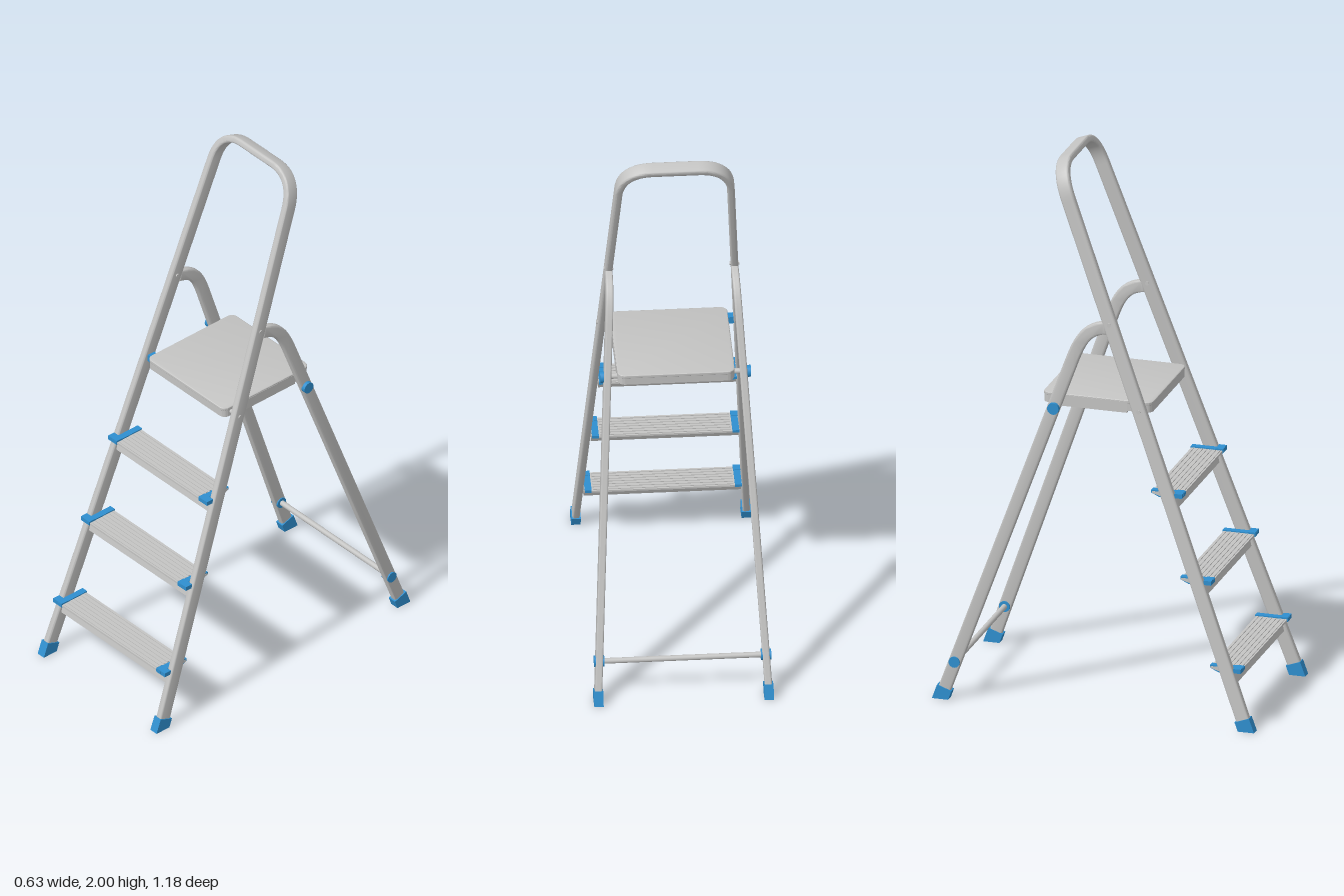
import * as THREE from 'three';
import { toCreasedNormals } from 'three/addons/utils/BufferGeometryUtils.js';

const aluminium = new THREE.MeshStandardMaterial({ color: 0xc4c4c3 });
aluminium.name = 'aluminium';
const bluePlastic = new THREE.MeshStandardMaterial({ color: 0x2f8fcf });
bluePlastic.name = 'blue plastic';

const TILT = Math.atan(0.3675);           // lean of the front frame
const railX = (y) => 0.30 - 0.0555 * y;   // frame half width at a height
const railZ = (y) => 0.56 - 0.3675 * y;   // front frame depth at a height
const LEG_SLOPE = 0.356;
const legZ = (y) => -0.56 + LEG_SLOPE * y;
const V = (x, y) => new THREE.Vector2(x, y);

// Closed outline of a band of even width that follows a line of points
function band(points, width) {
  const left = [], right = [];
  points.forEach((p, i) => {
    const a = points[Math.max(i - 1, 0)], b = points[Math.min(i + 1, points.length - 1)];
    const t = b.clone().sub(a).normalize().multiplyScalar(width / 2);
    left.push(V(p.x - t.y, p.y + t.x));
    right.unshift(V(p.x + t.y, p.y - t.x));
  });
  return new THREE.Shape([...left, ...right]);
}

// Extrusion centred on z = 0, with optional rounded edges
function extrude(shape, depth, bevel = 0) {
  const geo = new THREE.ExtrudeGeometry(shape, {
    depth: depth - 2 * bevel, bevelEnabled: bevel > 0, bevelThickness: bevel,
    bevelSize: bevel, bevelOffset: -bevel, bevelSegments: 3, curveSegments: 8,
  });
  geo.translate(0, 0, -depth / 2 + bevel);
  return toCreasedNormals(geo, 0.7);
}

function roundedRect(w, h, r, Type = THREE.Shape) {
  const s = new Type(), x = w / 2, y = h / 2;
  s.absarc(x - r, y - r, r, 0, Math.PI / 2);
  s.absarc(-x + r, y - r, r, Math.PI / 2, Math.PI);
  s.absarc(-x + r, -y + r, r, Math.PI, Math.PI * 1.5);
  s.absarc(x - r, -y + r, r, Math.PI * 1.5, Math.PI * 2);
  s.closePath();
  return s;
}

export function createModel() {
  const model = new THREE.Group();
  model.name = 'stepladder';
  const add = (name, geo, mat, x = 0, y = 0, z = 0, parent = model) => {
    const mesh = new THREE.Mesh(geo, mat);
    mesh.name = name;
    mesh.position.set(x, y, z);
    parent.add(mesh);
    return mesh;
  };
  const rod = (name, r, length, mat, x, y, z) =>
    add(name, new THREE.CylinderGeometry(r, r, length, 20).rotateZ(Math.PI / 2), mat, x, y, z);

  // Front frame: one tube bent into a tall hoop
  const corner = new THREE.CubicBezierCurve(
    V(0.197, 1.985), V(0.194, 2.062), V(0.155, 2.109), V(0.08, 2.109)).getPoints(14);
  const half = [V(0.299, 0.025), ...corner];
  const hoop = [...half, ...half.map((p) => V(-p.x, p.y)).reverse()];
  add('frontFrame', extrude(band(hoop, 0.026), 0.05, 0.007), aluminium, 0, 0, 0.56)
    .rotation.x = -TILT;

  // Rear legs, curving over to meet the front frame
  const bend = new THREE.CubicBezierCurve(
    V(legZ(1.24), 1.24), V(legZ(1.34), 1.34), V(-0.065, 1.405), V(0.02, 1.416)).getPoints(14);
  const legShape = band([V(legZ(0.025), 0.025), ...bend], 0.046);
  for (const side of [-1, 1]) {
    const geo = extrude(legShape, 0.026, 0.007).rotateY(-Math.PI / 2);
    const pos = geo.attributes.position;
    for (let i = 0; i < pos.count; i++) {
      pos.setX(i, pos.getX(i) + side * railX(pos.getY(i)));
    }
    add('rearLeg', geo, aluminium);
  }

  // Feet: leaning blocks cut flat at the floor
  for (const side of [-1, 1]) {
    for (const [name, z, lean] of [['frontFoot', 0.56, -TILT], ['rearFoot', -0.56, Math.atan(LEG_SLOPE)]]) {
      const geo = new THREE.BoxGeometry(0.033, 0.09, 0.056).rotateX(lean);
      const pos = geo.attributes.position;
      for (let i = 0; i < pos.count; i++) {
        const y = pos.getY(i);
        if (y < 0) {
          pos.setZ(i, pos.getZ(i) - y * Math.tan(lean));
          pos.setY(i, 0);
        }
      }
      geo.computeVertexNormals();
      add(name, geo, bluePlastic, side * 0.298, 0, z);
    }
  }

  // Steps: flat tread over a leaning channel, with plastic end caps
  const stepProfile = new THREE.Shape([
    V(0.057, 0), V(0.057, -0.007), V(0.03, -0.017), V(0.038, -0.054),
    V(-0.006, -0.054), V(-0.022, -0.017), V(-0.057, -0.007), V(-0.057, 0),
  ]);
  const capProfile = new THREE.Shape([
    V(0.06, 0.004), V(0.06, -0.006), V(0.03, -0.02),
    V(-0.03, -0.02), V(-0.06, -0.006), V(-0.06, 0.004),
  ]);
  [0.218, 0.528, 0.833].forEach((y) => {
    const step = new THREE.Group();
    step.name = 'step';
    step.position.set(0, y, railZ(y) - 0.004);
    model.add(step);
    const x = railX(y), width = 2 * (x - 0.012);
    add('tread', extrude(stepProfile, width).rotateY(-Math.PI / 2), aluminium, 0, 0, 0, step);
    for (let i = 0; i < 7; i++) {
      add('gripRib', new THREE.BoxGeometry(width - 0.06, 0.003, 0.006),
        aluminium, 0, 0.0012, -0.048 + i * 0.016, step);
    }
    for (const side of [-1, 1]) {
      add('endCap', extrude(capProfile, 0.024).rotateY(-Math.PI / 2),
        bluePlastic, side * (x - 0.025), 0, 0, step);
      add('frontTab', new THREE.BoxGeometry(0.045, 0.016, 0.028),
        bluePlastic, side * (x - 0.015), -0.002, 0.045, step);
    }
  });

  // Platform: rounded lid with a skirt and ribs beneath
  const platform = new THREE.Group();
  platform.name = 'platform';
  platform.position.set(0, 0, -0.02);
  model.add(platform);
  add('platformTop', extrude(roundedRect(0.41, 0.4, 0.025), 0.012, 0.003).rotateX(-Math.PI / 2),
    aluminium, 0, 1.139, 0, platform);
  const skirt = roundedRect(0.408, 0.398, 0.025);
  skirt.holes.push(roundedRect(0.392, 0.382, 0.018, THREE.Path));
  add('platformSkirt', extrude(skirt, 0.03).rotateX(-Math.PI / 2), aluminium, 0, 1.122, 0, platform);
  for (const z of [-0.15, -0.05, 0.05, 0.15]) {
    add('platformRib', new THREE.BoxGeometry(0.394, 0.026, 0.008), aluminium, 0, 1.121, z, platform);
  }
  for (const side of [-1, 1]) {
    add('platformArm', new THREE.BoxGeometry(0.012, 0.04, 0.24), aluminium, side * 0.2, 1.12, -0.01, platform);
  }

  // Hinges that carry the platform
  rod('rearHingeRod', 0.01, 0.51, aluminium, 0, 1.108, -0.163);
  rod('frontHingePin', 0.008, 0.06, aluminium, 0.22, 1.125, railZ(1.125));
  add('latch', new THREE.BoxGeometry(0.034, 0.026, 0.03), bluePlastic, -0.215, 1.122, 0.142);

  // Rear cross bar, its knobs, and the rivets joining legs to frame
  rod('rearCrossBar', 0.01, 0.6, aluminium, 0, 0.14, legZ(0.14));
  for (const side of [-1, 1]) {
    rod('crossBarKnob', 0.02, 0.036, bluePlastic, side * 0.292, 0.14, legZ(0.14));
    rod('hingeKnob', 0.021, 0.016, bluePlastic, side * 0.256, 1.106, -0.163);
    rod('topRivet', 0.007, 0.034, aluminium, side * railX(1.43), 1.43, railZ(1.43));
    rod('platformRivet', 0.007, 0.034, aluminium, side * railX(1.125), 1.125, railZ(1.125));
  }
  return model;
}
